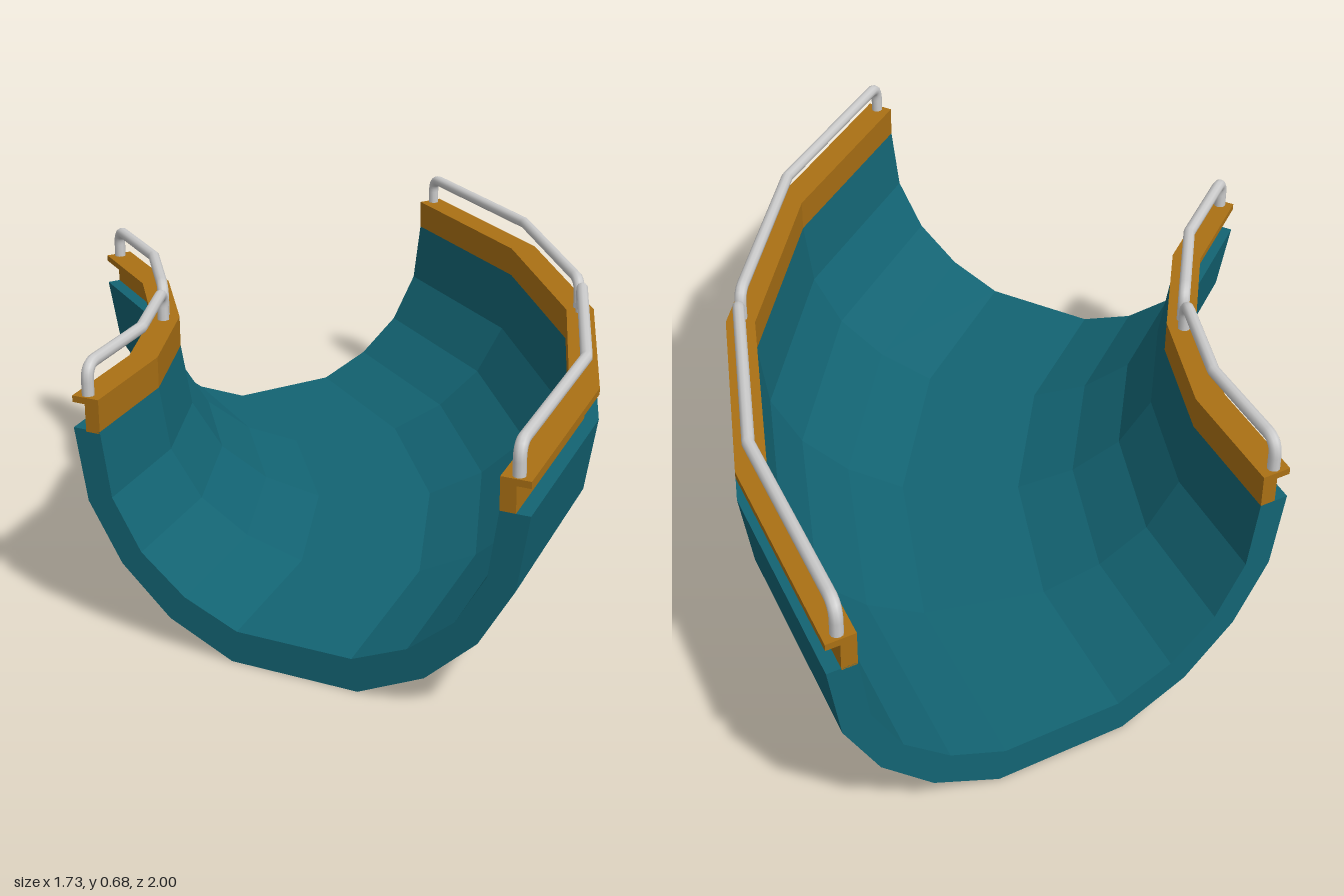
import * as THREE from 'three';

const RADIUS = 1.732, CX = -1.4434, CZ = -1;   // bend radius and pivot
const STEP = Math.PI / 12, STEPS = 4;          // 60 degree bend in four facets

const teal = new THREE.MeshStandardMaterial({ color: 0x136473, flatShading: true });
const orange = new THREE.MeshStandardMaterial({ color: 0xaa7014, flatShading: true });
const grey = new THREE.MeshStandardMaterial({ color: 0xcccccc });

// Point on the bend: w is the offset from the centre line, k the section number
function at(w, y, k) {
  const r = RADIUS + w, t = k * STEP;
  return new THREE.Vector3(CX + r * Math.cos(t), y, CZ + r * Math.sin(t));
}

// Sweeps a closed counter-clockwise profile of [w, y] around the bend, with end caps
function sweep(profile) {
  const pos = [];
  const tri = (...pts) => pts.forEach((p) => pos.push(p.x, p.y, p.z));
  for (let k = 0; k < STEPS; k++) {
    profile.forEach(([w, y], i) => {
      const [w2, y2] = profile[(i + 1) % profile.length];
      const a = at(w, y, k), b = at(w2, y2, k), c = at(w2, y2, k + 1), d = at(w, y, k + 1);
      tri(a, b, c);
      tri(a, c, d);
    });
  }
  const contour = profile.map(([w, y]) => new THREE.Vector2(w, y));
  for (const face of THREE.ShapeUtils.triangulateShape(contour, [])) {
    const cap = (k) => face.map((i) => at(...profile[i], k));
    tri(...cap(STEPS));
    tri(...cap(0).reverse());
  }
  const geo = new THREE.BufferGeometry();
  geo.setAttribute('position', new THREE.Float32BufferAttribute(pos, 3));
  geo.computeVertexNormals();
  return geo;
}

function rect(w0, w1, y0, y1) {
  return [[w0, y0], [w1, y0], [w1, y1], [w0, y1]];
}

// Bent handrail with rounded corners over two facets, starting at section k
function railGeometry(w, k) {
  const base = 0.585, top = 0.668, gap = 0.02, bend = 0.04;
  const a = at(w, top, k), m = at(w, top, k + 1), b = at(w, top, k + 2);
  const toward = (p, q, d) => p.clone().add(q.clone().sub(p).setLength(d));
  const withY = (p, y) => new THREE.Vector3(p.x, y, p.z);
  const p0 = toward(a, m, gap), p1 = toward(b, m, gap);
  const in0 = toward(p0, m, bend), in1 = toward(p1, m, bend);
  const path = new THREE.CurvePath();
  path.add(new THREE.LineCurve3(withY(p0, base), withY(p0, top - bend)));
  path.add(new THREE.QuadraticBezierCurve3(withY(p0, top - bend), p0, in0));
  path.add(new THREE.LineCurve3(in0, m));
  path.add(new THREE.LineCurve3(m, in1));
  path.add(new THREE.QuadraticBezierCurve3(in1, p1, withY(p1, top - bend)));
  path.add(new THREE.LineCurve3(withY(p1, top - bend), withY(p1, base)));
  return new THREE.TubeGeometry(path, 120, 0.015, 10, false);
}

export function createModel() {
  const model = new THREE.Group();
  const add = (name, geo, mat) => {
    const mesh = new THREE.Mesh(geo, mat);
    mesh.name = name;
    model.add(mesh);
  };

  // Thick half-pipe trough: outer wall, then inner wall
  const outer = [[0.165, 0], [0.332, 0.075], [0.46, 0.19], [0.547, 0.335], [0.5775, 0.515]];
  const inner = [[0.505, 0.515], [0.48, 0.355], [0.405, 0.23], [0.29, 0.138], [0.15, 0.08]];
  const half = [...outer, ...inner];
  const mirrored = half.map(([w, y]) => [-w, y]).reverse();
  add('trough', sweep([...half, ...mirrored]), teal);

  for (const [side, s] of [['outer', 1], ['inner', -1]]) {
    // Upright edge band and the flat lip on top of it
    const span = (a, b) => [Math.min(a * s, b * s), Math.max(a * s, b * s)];
    add(side + 'Band', sweep(rect(...span(0.505, 0.543), 0.51, 0.58)), orange);
    add(side + 'Lip', sweep(rect(...span(0.505, 0.577), 0.578, 0.594)), orange);
    // Two handrails per side
    for (const k of [0, 2]) {
      add(side + (k ? 'FrontRail' : 'BackRail'), railGeometry(0.543 * s, k), grey);
    }
  }
  return model;
}
